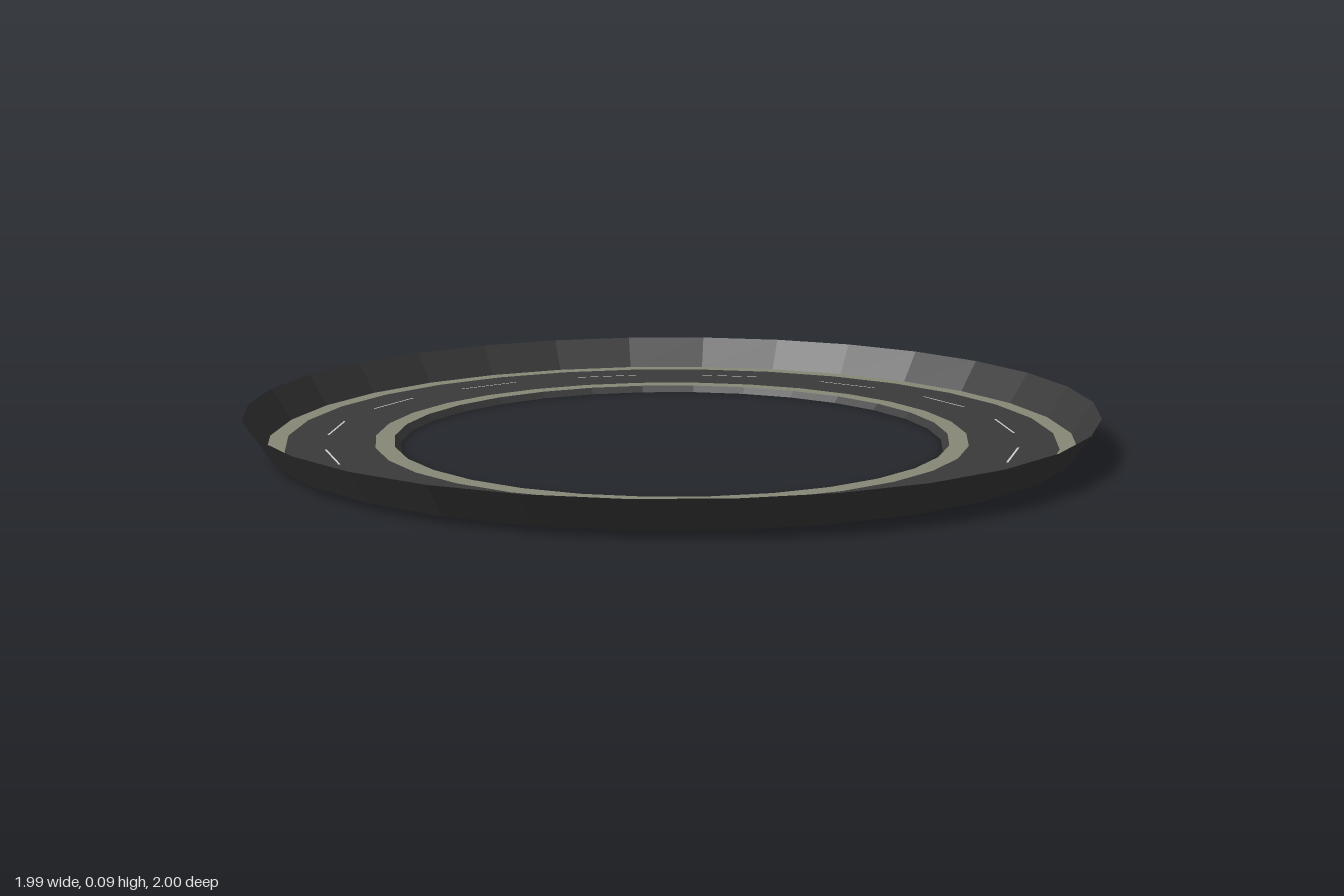
import * as THREE from 'three';

const SIDES = 30;
const ROAD_Y = 0.015;

function material(color) {
  return new THREE.MeshStandardMaterial({ color, flatShading: true, side: THREE.DoubleSide });
}

// Band swept round the y axis between two [radius, height] points
function band(name, from, to, mat, start = 0, sides = SIDES) {
  const points = [new THREE.Vector2(...from), new THREE.Vector2(...to)];
  const step = (Math.PI * 2) / SIDES;
  const geometry = new THREE.LatheGeometry(points, sides, start * step, sides * step);
  const mesh = new THREE.Mesh(geometry, mat);
  mesh.name = name;
  return mesh;
}

export function createModel() {
  const group = new THREE.Group();
  group.name = 'ringRoad';

  const asphalt = material(0x3a3a3a);
  const curb = material(0x888877);
  const paint = material(0xffffff);

  // Flared wall around the outside and small sloping lip around the hole
  group.add(band('outerWall', [0.95, ROAD_Y], [1.0, 0.09], asphalt));
  group.add(band('innerLip', [0.655, ROAD_Y], [0.64, 0], asphalt));

  // Road surface between its two edge strips
  group.add(band('outerEdgeStrip', [0.95, ROAD_Y], [0.907, ROAD_Y], curb));
  group.add(band('roadSurface', [0.907, ROAD_Y], [0.7, ROAD_Y], asphalt));
  group.add(band('innerEdgeStrip', [0.7, ROAD_Y], [0.655, ROAD_Y], curb));

  // Dashed centre line on every other segment
  const dashes = new THREE.Group();
  dashes.name = 'centreLine';
  const y = ROAD_Y + 0.001;
  for (let i = 0; i < SIDES; i += 2) {
    dashes.add(band('laneDash', [0.816, y], [0.811, y], paint, i, 1));
  }
  group.add(dashes);

  return group;
}
